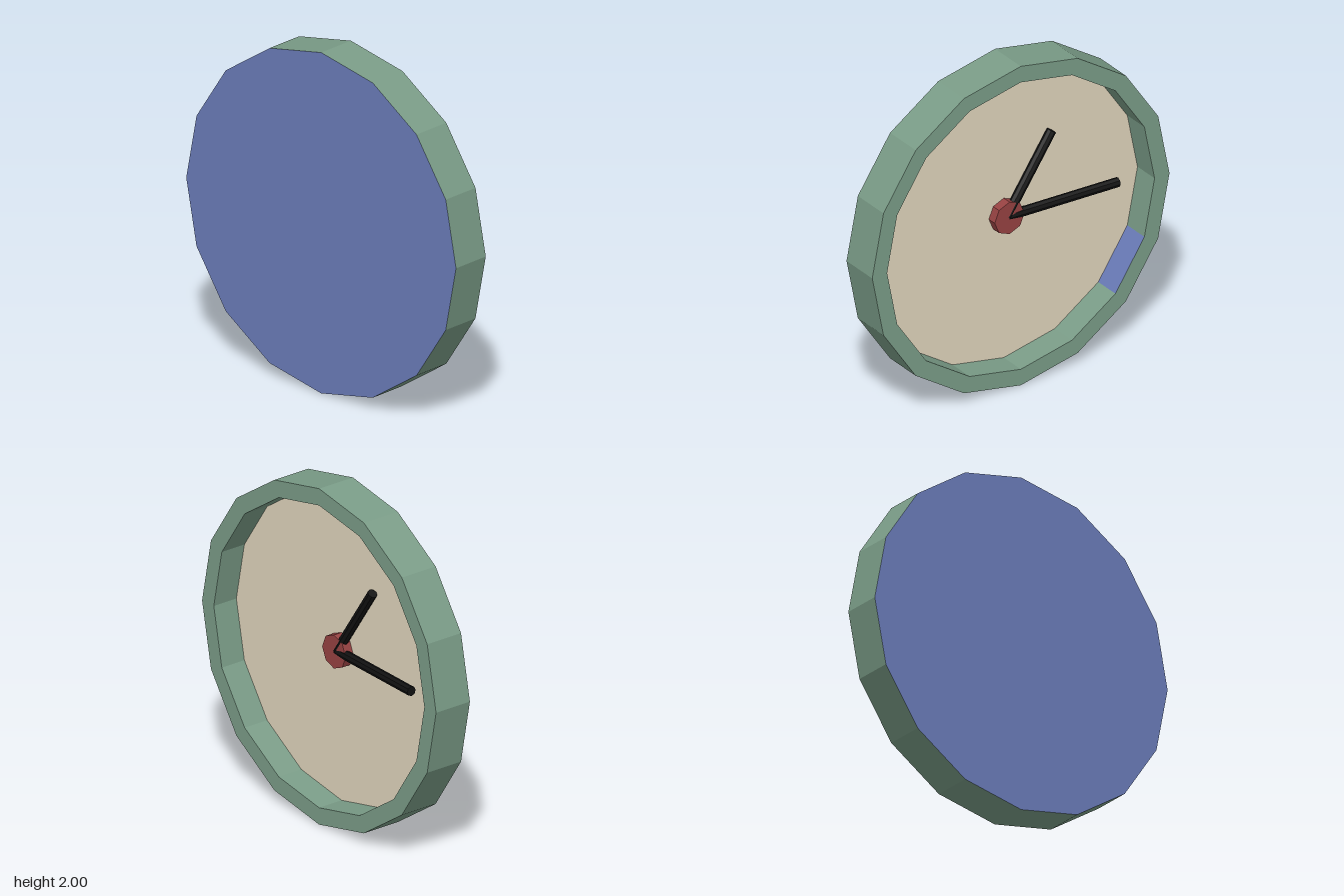
import * as THREE from 'three';

const SIDES = 16, STEP = (Math.PI * 2) / SIDES;
const DEPTH = 0.12, INNER = 0.9, DIAL_Z = 0.04;

const mat = (name, color) => {
  const m = new THREE.MeshStandardMaterial({ color });
  m.name = name;
  return m;
};

// Faceted normals
function faceted(geometry) {
  const g = geometry.index ? geometry.toNonIndexed() : geometry;
  g.computeVertexNormals();
  return g;
}

// Lathe turned so that its axis runs along z; profile points are [radius, z]
function ring(profile, segments = SIDES, start = 0) {
  const points = profile.map(([r, z]) => new THREE.Vector2(r, z));
  const g = new THREE.LatheGeometry(points, segments, start, segments * STEP);
  return faceted(g.rotateX(Math.PI / 2));
}

export function createModel() {
  const green = mat('caseGreen', 0x7a9c87);
  const blue = mat('panelBlue', 0x6a7bb8);
  const cream = mat('dialCream', 0xe0d4bc);
  const red = mat('hubRed', 0x964242);
  const black = mat('handBlack', 0x111111);

  const model = new THREE.Group();
  model.name = 'wallClock';
  const clock = new THREE.Group();
  clock.name = 'clock';
  clock.position.y = 1;
  model.add(clock);

  const add = (name, geometry, material) => {
    const mesh = new THREE.Mesh(geometry, material);
    mesh.name = name;
    clock.add(mesh);
    return mesh;
  };

  // Case: outer wall and rim, then the inner wall with one blue facet
  add('caseRim', ring([[INNER, -DEPTH], [1, -DEPTH], [1, DEPTH]]), green);
  const wall = [[INNER, DIAL_Z], [INNER, -DEPTH]];
  add('innerWall', ring(wall, SIDES - 1, -2 * STEP), green);
  add('innerWallFacet', ring(wall, 1, -3 * STEP), blue);

  // Flat panel on the +z side
  add('panel', new THREE.CircleGeometry(1, SIDES), blue).position.z = DEPTH;

  // Recessed dial looking towards -z
  const dial = add('dial', new THREE.CircleGeometry(INNER, SIDES), cream);
  dial.rotation.y = Math.PI;
  dial.position.z = DIAL_Z;

  // Hub standing on the dial
  const hubGeometry = new THREE.CylinderGeometry(0.1, 0.1, 0.055, 8).rotateX(Math.PI / 2);
  add('hub', faceted(hubGeometry), red).position.z = 0.0125;

  // Hands run from the hub centre to their tips; the long one leans off the dial
  const base = new THREE.Vector3(0, 0, 0.01);
  const hands = {
    hourHand: new THREE.Vector3(-0.3, 0.44, 0.01),
    minuteHand: new THREE.Vector3(-0.705, 0.01, -0.05),
  };
  for (const [name, tip] of Object.entries(hands)) {
    const along = tip.clone().sub(base);
    const hand = add(name, faceted(new THREE.CylinderGeometry(0.028, 0.028, along.length(), 8)), black);
    hand.position.copy(base).addScaledVector(along, 0.5);
    hand.quaternion.setFromUnitVectors(new THREE.Vector3(0, 1, 0), along.normalize());
  }

  return model;
}
